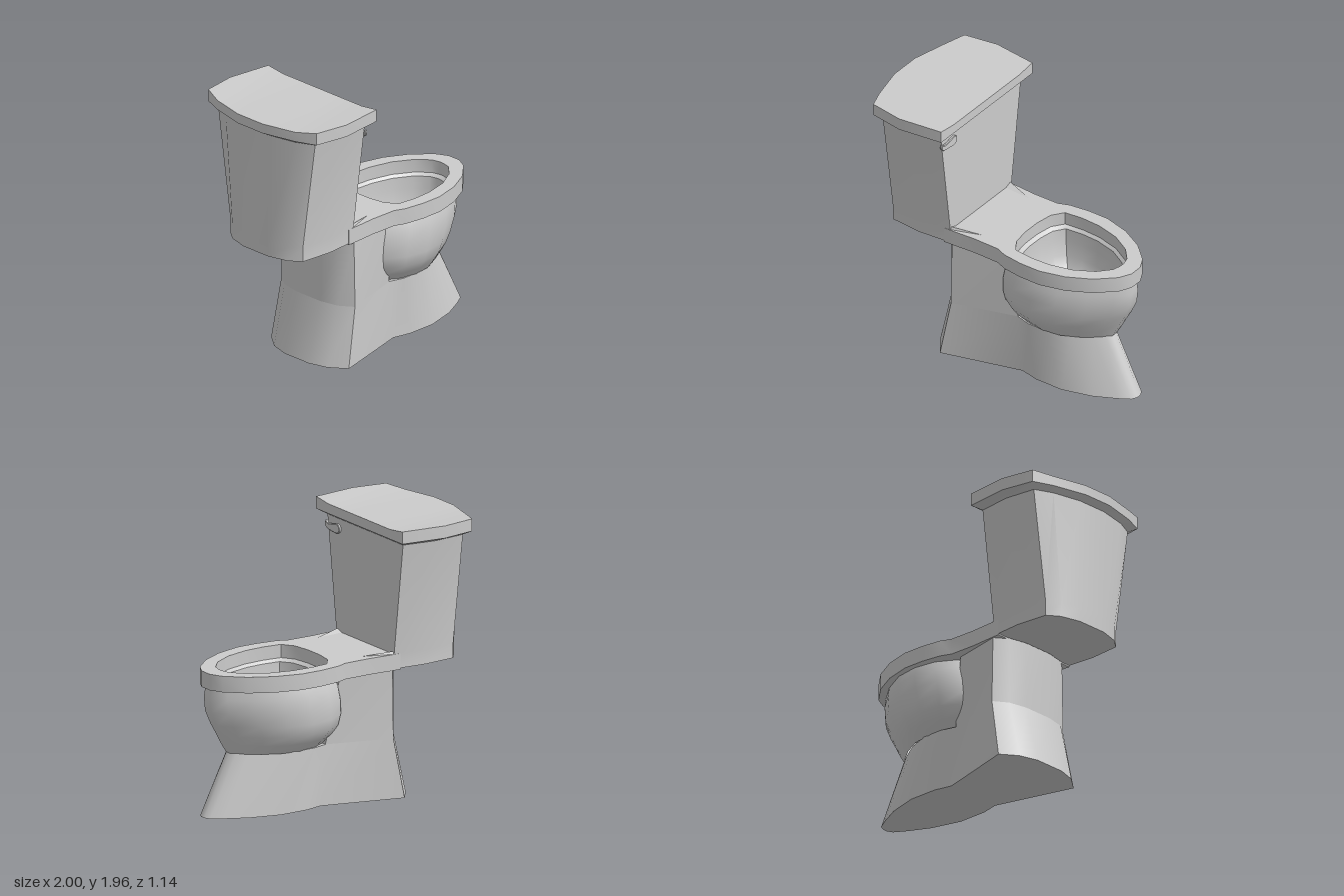
import * as THREE from 'three';
import { toCreasedNormals } from 'three/addons/utils/BufferGeometryUtils.js';

const material = new THREE.MeshStandardMaterial({ color: 0xcccccc, side: THREE.DoubleSide });

// Closed ring at height y from a half outline of [x, z], listed back to front
function ring(half, y) {
  const left = half.map(([x, z]) => [x, y, z]);
  const right = half.map(([x, z]) => [x, y, -z]).reverse();
  return [...left, ...right];
}

// Skin over successive rings, with optional end caps
function loft(rings, capStart = false, capEnd = false, crease = 0.6) {
  const pos = [];
  const quad = (a, b, c, d) => pos.push(...a, ...b, ...c, ...a, ...c, ...d);
  const n = rings[0].length;
  for (let r = 0; r < rings.length - 1; r++) {
    const a = rings[r], b = rings[r + 1];
    for (let i = 0; i < n; i++) {
      const j = (i + 1) % n;
      quad(a[i], a[j], b[j], b[i]);
    }
  }
  const first = rings[0], last = rings[rings.length - 1];
  for (let i = 0; i < n / 2 - 1; i++) {
    const p = n - 1 - i, q = n - 2 - i;
    if (capStart) quad(first[i], first[p], first[q], first[i + 1]);
    if (capEnd) quad(last[i], last[i + 1], last[q], last[p]);
  }
  const geometry = new THREE.BufferGeometry();
  geometry.setAttribute('position', new THREE.Float32BufferAttribute(pos, 3));
  return toCreasedNormals(geometry, crease);
}

// Symmetric path from a half outline, as 2D points
const points2D = (half) => ring(half, 0).map(([x, , z]) => new THREE.Vector2(x, -z));

export function createModel() {
  const group = new THREE.Group();
  const add = (name, geometry) => {
    const mesh = new THREE.Mesh(geometry, material);
    mesh.name = name;
    group.add(mesh);
    return mesh;
  };

  // Flared base: wide rear, pinched waist, tapering toe
  const floorLine = [[-0.55, 0.12], [-0.51, 0.26], [-0.42, 0.38], [0.17, 0.22], [0.3, 0.25],
    [0.52, 0.25], [0.74, 0.19], [0.9, 0.11], [0.98, 0.06], [1.0, 0.02]];
  const waistLine = [[-0.44, 0.12], [-0.41, 0.26], [-0.34, 0.36], [0.13, 0.22], [0.24, 0.25],
    [0.4, 0.25], [0.56, 0.19], [0.69, 0.11], [0.76, 0.06], [0.79, 0.02]];
  add('base', loft([ring(floorLine, 0), ring(waistLine, 0.435)], true, true));

  // Upright rear body joining the base to the bowl
  const rearLow = waistLine.slice(0, 4);
  const rearHigh = [[-0.44, 0.12], [-0.41, 0.26], [-0.34, 0.35], [0.04, 0.27]];
  add('rearBody', loft([ring(rearLow, 0.435), ring(rearHigh, 0.925)]));

  // Egg-shaped bowl: [y, back x, front x, half width]
  const egg = [[0, 0], [0.03, 0.4], [0.12, 0.72], [0.25, 0.93], [0.42, 1], [0.6, 0.92],
    [0.78, 0.66], [0.92, 0.34], [1, 0.1]];
  const bowlRings = [
    [0.43, 0.05, 0.79, 0.25], [0.5, -0.02, 0.83, 0.31], [0.57, -0.06, 0.865, 0.36],
    [0.65, -0.08, 0.91, 0.38], [0.75, -0.08, 0.955, 0.385], [0.85, -0.06, 0.965, 0.38],
    [0.925, -0.02, 0.955, 0.355],
  ].map(([y, back, front, w]) => ring(egg.map(([t, s]) => [back + t * (front - back), s * w]), y));
  add('bowl', loft(bowlRings, false, false, 0.9));

  // Rim slab with the opening cut through
  const rimLine = [[-0.4, 0.36], [-0.3, 0.355], [-0.15, 0.345], [0.05, 0.348], [0.13, 0.38],
    [0.28, 0.4], [0.44, 0.4], [0.63, 0.35], [0.8, 0.26], [0.93, 0.14], [0.975, 0.05]];
  const opening = [[0.08, 0.07], [0.1, 0.2], [0.16, 0.285], [0.3, 0.3], [0.45, 0.293],
    [0.62, 0.25], [0.76, 0.17], [0.84, 0.08], [0.855, 0.02]];
  const rimShape = new THREE.Shape(points2D(rimLine));
  rimShape.holes.push(new THREE.Path(points2D(opening)));
  const rim = new THREE.ExtrudeGeometry(rimShape, { depth: 0.115, bevelEnabled: false });
  rim.rotateX(-Math.PI / 2).translate(0, 0.92, 0);
  add('rim', toCreasedNormals(rim, 0.6));

  // Hollow inside of the bowl, from the opening down to the floor
  const cavity = [[0.94, 1], [0.92, 0.93], [0.83, 0.92], [0.72, 0.87], [0.62, 0.78], [0.58, 0.65]]
    .map(([y, s]) => ring(opening.map(([x, z]) => [0.47 + (x - 0.47) * s, z * s]), y));
  add('bowlInside', loft(cavity, false, true, 0.7));

  // Tank widening upward, ending in a chamfer under the lid
  const tankLow = [[-0.945, 0.12], [-0.905, 0.27], [-0.84, 0.355], [-0.6, 0.375], [-0.35, 0.355]];
  const tankHigh = [[-0.945, 0.12], [-0.9, 0.34], [-0.84, 0.475], [-0.6, 0.5], [-0.35, 0.465]];
  const lidLine = [[-1, 0.12], [-0.94, 0.38], [-0.88, 0.53], [-0.63, 0.57], [-0.3, 0.53]];
  add('tank', loft([ring(tankLow, 0.93), ring(tankLow, 1.035), ring(tankHigh, 1.845),
    ring(lidLine, 1.875)], true, false, 0.45));

  // Lid swept across its width with raised ends: [z, back x, front x, top y]
  const lidHalf = [[0.12, -1, -0.3, 1.945], [0.38, -0.94, -0.3, 1.945],
    [0.53, -0.88, -0.3, 1.963], [0.57, -0.63, -0.63, 1.963]];
  const lidStations = [...lidHalf.map(([z, ...rest]) => [-z, ...rest]).reverse(), ...lidHalf];
  add('tankLid', loft(lidStations.map(([z, back, front, top]) =>
    [[back, 1.875, z], [front, 1.875, z], [front, top, z], [back, top, z]]), false, false, 0.45));

  // Flush lever on the tank front
  const lever = new THREE.Shape();
  lever.moveTo(-0.465, 1.8);
  lever.splineThru([[-0.44, 1.785], [-0.39, 1.79], [-0.33, 1.803], [-0.305, 1.79], [-0.302, 1.76],
    [-0.33, 1.742], [-0.39, 1.745], [-0.45, 1.755], [-0.47, 1.775], [-0.465, 1.8]]
    .map(([x, y]) => new THREE.Vector2(x, y)));
  const leverGeometry = new THREE.ExtrudeGeometry(lever, {
    depth: 0.012, bevelThickness: 0.004, bevelSize: 0.004, bevelSegments: 1, curveSegments: 24 });
  leverGeometry.rotateY(Math.PI / 2).translate(-0.348, 0, 0);
  add('flushLever', toCreasedNormals(leverGeometry, 0.6));
  const stem = new THREE.CylinderGeometry(0.015, 0.015, 0.03, 12).rotateZ(Math.PI / 2);
  add('leverStem', stem).position.set(-0.352, 1.775, 0.435);

  // Small fillets running from the tank corners onto the rim
  for (const side of [1, -1]) {
    const tip = [-0.14, 1.036, 0.278 * side];
    const foot = [[-0.36, 1.034, 0.355 * side], [-0.36, 1.034, 0.29 * side]];
    const peak = [-0.36, 1.055, 0.345 * side];
    const pos = [foot[0], tip, peak, peak, tip, foot[1]].flat();
    const fillet = new THREE.BufferGeometry();
    fillet.setAttribute('position', new THREE.Float32BufferAttribute(pos, 3));
    fillet.computeVertexNormals();
    add(side > 0 ? 'leftFillet' : 'rightFillet', fillet);
  }
  return group;
}
